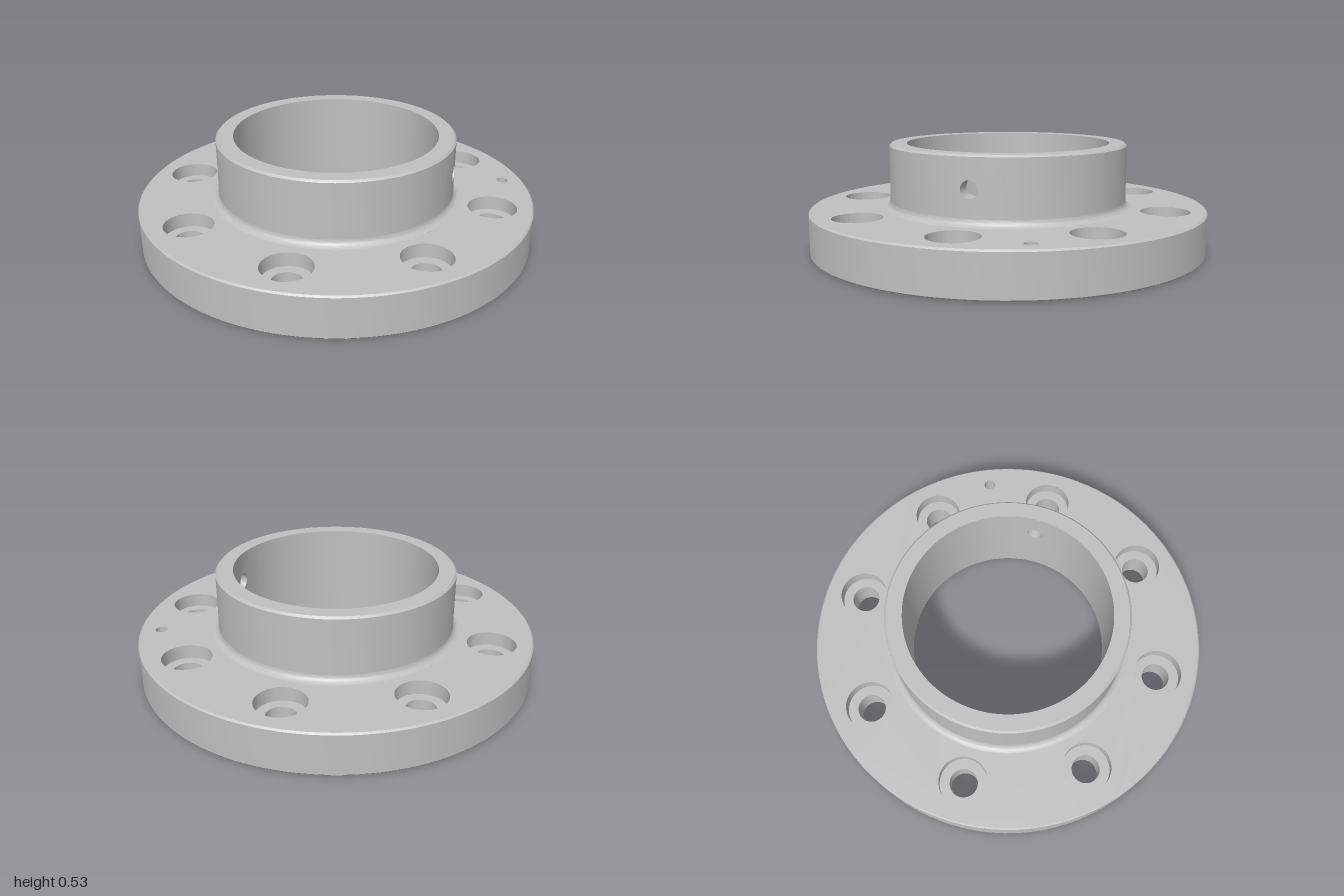
import * as THREE from 'three';
import { toCreasedNormals } from 'three/addons/utils/BufferGeometryUtils.js';

const SEG = 96;
const FLANGE_TOP = 0.21, FLANGE_R = 1, CHAMFER = 0.008;
const HUB_R = 0.6, HUB_TOP = 0.53, BORE_R = 0.513, FILLET = 0.035;
const RECESS_R = 0.684, RECESS_Y = 0.04;
const BOLT_CIRCLE = 0.8, BOLT_R = 0.07, SINK_R = 0.12, SINK_Y = 0.14;
const PORT_Y = 0.375, PORT_R = 0.042, PATCH = 0.15;

const v2 = (p) => new THREE.Vector2(p[0], p[1]);

// Revolved surface with sharp edges kept sharp
function lathe(points, start = 0, length = Math.PI * 2) {
  return toCreasedNormals(new THREE.LatheGeometry(points.map(v2), SEG, start, length), 0.5);
}

// Curved sheet: every (u, v) in 0..1 is placed by a rule
function sheet(nu, nv, rule) {
  const g = new THREE.PlaneGeometry(1, 1, nu, nv);
  const p = g.attributes.position;
  for (let i = 0; i < p.count; i++) p.setXYZ(i, ...rule(p.getX(i) + 0.5, p.getY(i) + 0.5));
  g.computeVertexNormals();
  return g;
}

// Flat ring with round holes, lying level at height y
function plate(inner, outer, holes, y, up) {
  const shape = new THREE.Shape();
  shape.absarc(0, 0, outer, 0, Math.PI * 2, false);
  for (const [x, z, r] of [[0, 0, inner], ...holes]) {
    const path = new THREE.Path();
    path.absarc(x, up ? -z : z, r, 0, Math.PI * 2, true);
    shape.holes.push(path);
  }
  const g = new THREE.ShapeGeometry(shape, SEG);
  g.rotateX(up ? -Math.PI / 2 : Math.PI / 2);
  g.translate(0, y, 0);
  return g;
}

// Square patch of a cylinder wall pierced by the round side port
function portPatch(r, y0, y1, outward) {
  return sheet(64, 6, (u, v) => {
    const a = u * Math.PI * 2, c = Math.cos(a), s = Math.sin(a);
    const m = Math.max(Math.abs(c), Math.abs(s));
    const t = outward ? v : 1 - v;
    const edgeY = (s / m) * (s > 0 ? y1 - PORT_Y : PORT_Y - y0);
    const z = -THREE.MathUtils.lerp((c / m) * PATCH, c * PORT_R, t);
    const y = PORT_Y + THREE.MathUtils.lerp(edgeY, s * PORT_R, t);
    return [Math.sqrt(r * r - z * z), y, z];
  });
}

export function createModel() {
  const model = new THREE.Group();
  model.name = 'flangedHub';
  const steel = new THREE.MeshStandardMaterial({ color: 0xc0c0c0, side: THREE.DoubleSide });
  steel.name = 'steelGrey';

  const add = (name, geometry, parent = model) => {
    const mesh = new THREE.Mesh(geometry, steel);
    mesh.name = name;
    parent.add(mesh);
    return mesh;
  };

  // Hole positions
  const bolts = [];
  for (let i = 0; i < 8; i++) {
    const a = (i * Math.PI) / 4;
    bolts.push([BOLT_CIRCLE * Math.cos(a), BOLT_CIRCLE * Math.sin(a)]);
  }
  const pin = [0.826, -0.342, 0.03];

  // Flange
  const rim = FLANGE_R - CHAMFER;
  add('flangeRim', lathe([[rim, 0], [FLANGE_R, CHAMFER], [FLANGE_R, FLANGE_TOP - CHAMFER], [rim, FLANGE_TOP]]));
  add('flangeTop', plate(HUB_R + FILLET, rim, [...bolts.map(([x, z]) => [x, z, SINK_R]), pin], FLANGE_TOP, true));
  add('flangeBottom', plate(RECESS_R, rim, bolts.map(([x, z]) => [x, z, BOLT_R]), 0, false));
  add('bottomRecess', lathe([[BORE_R, RECESS_Y], [RECESS_R, RECESS_Y], [RECESS_R, 0]]));

  // Counterbored bolt holes and the blind pin hole
  const boltHole = lathe([[SINK_R, FLANGE_TOP], [SINK_R, SINK_Y], [BOLT_R, SINK_Y], [BOLT_R, 0]]);
  for (const [x, z] of bolts) add('boltHole', boltHole).position.set(x, 0, z);
  add('pinHole', lathe([[pin[2], FLANGE_TOP], [pin[2], 0.11], [0, 0.11]])).position.set(pin[0], 0, pin[1]);

  // Fillet between flange and hub
  const fillet = [];
  for (let i = 0; i <= 8; i++) {
    const a = (i / 8) * (Math.PI / 2);
    fillet.push([HUB_R + FILLET * (1 - Math.sin(a)), FLANGE_TOP + FILLET * (1 - Math.cos(a))]);
  }
  add('hubFillet', lathe(fillet));

  // Hub walls, each closed by a patch around the side port
  const hub = new THREE.Group();
  hub.name = 'hub';
  model.add(hub);
  const wall = (name, r, y0, y1, outward) => {
    const half = Math.asin(PATCH / r);
    const profile = outward ? [[r, y0], [r, y1]] : [[r, y1], [r, y0]];
    add(name, lathe(profile, Math.PI / 2 + half, Math.PI * 2 - 2 * half), hub);
    add(name + 'PortPatch', portPatch(r, y0, y1, outward), hub);
  };
  wall('hubOuterWall', HUB_R, FLANGE_TOP + FILLET, HUB_TOP - 0.01, true);
  wall('boreWall', BORE_R, RECESS_Y, HUB_TOP, false);
  add('hubTopRim', lathe([[HUB_R, HUB_TOP - 0.01], [HUB_R - 0.01, HUB_TOP], [BORE_R, HUB_TOP]]), hub);

  // Side port through the hub wall
  add('sidePort', sheet(64, 1, (u, v) => {
    const a = u * Math.PI * 2, z = -PORT_R * Math.cos(a);
    const r = v < 0.5 ? HUB_R : BORE_R;
    return [Math.sqrt(r * r - z * z), PORT_Y + PORT_R * Math.sin(a), z];
  }), hub);

  return model;
}
